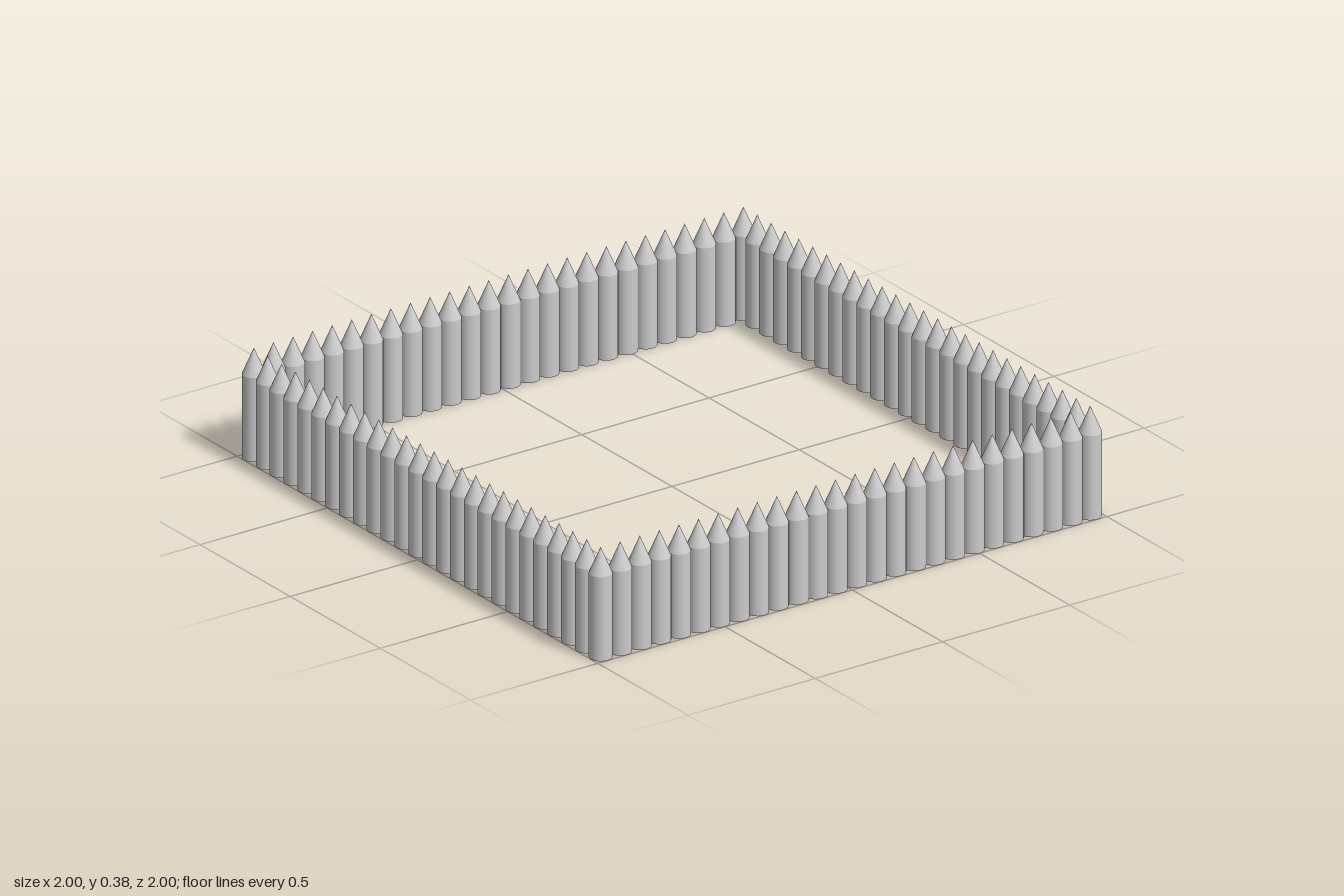
import * as THREE from 'three';

const COUNT = 26;            // stakes along each side, corners included
const R = 1 / COUNT;         // stakes touch their neighbours
const BODY = 0.295;          // height of the straight shaft
const TOP = 0.385;           // height of the point
const SIDES = 24;

export function createModel() {
  const palisade = new THREE.Group();
  palisade.name = 'palisade';
  const material = new THREE.MeshStandardMaterial({ color: 0xcccccc });

  const shaftGeometry = new THREE.CylinderGeometry(R, R, BODY, SIDES);
  shaftGeometry.translate(0, BODY / 2, 0);
  const tipGeometry = new THREE.ConeGeometry(R, TOP - BODY, SIDES, 1, true);
  tipGeometry.translate(0, (TOP + BODY) / 2, 0);

  // One round stake with a sharpened point
  function addStake(wall, x) {
    const stake = new THREE.Group();
    stake.name = 'stake';
    const shaft = new THREE.Mesh(shaftGeometry, material);
    shaft.name = 'shaft';
    const tip = new THREE.Mesh(tipGeometry, material);
    tip.name = 'tip';
    stake.add(shaft, tip);
    stake.position.set(x, 0, 1 - R);
    wall.add(stake);
  }

  // Four walls; each leaves its last corner to the next wall
  ['frontWall', 'leftWall', 'backWall', 'rightWall'].forEach((name, side) => {
    const wall = new THREE.Group();
    wall.name = name;
    for (let i = 0; i < COUNT - 1; i++) addStake(wall, -1 + R + i * 2 * R);
    wall.rotation.y = side * Math.PI / 2;
    palisade.add(wall);
  });

  return palisade;
}
